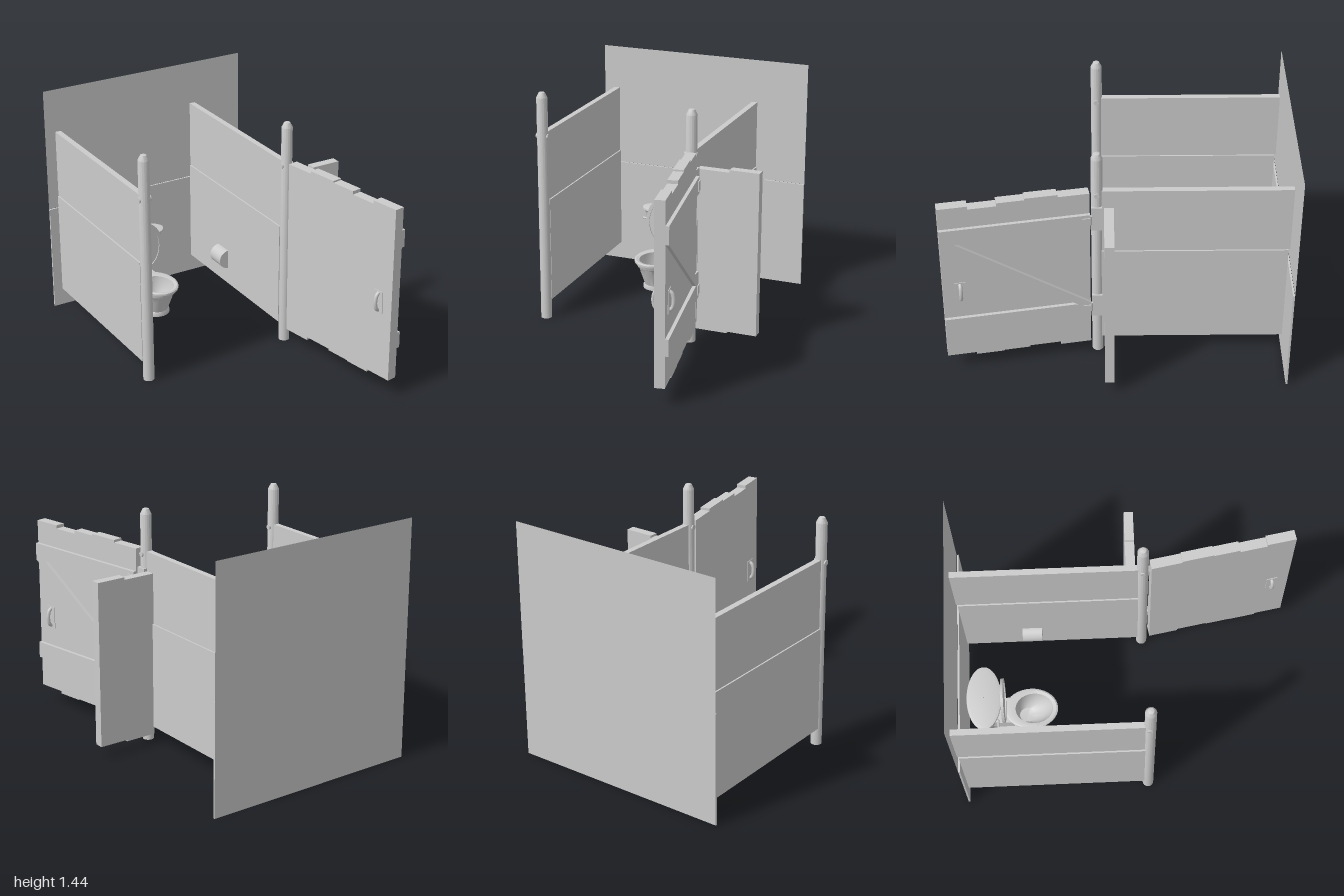
import * as THREE from 'three';
import { toCreasedNormals } from 'three/addons/utils/BufferGeometryUtils.js';

const grey = new THREE.MeshStandardMaterial({ color: 0xcccccc });
const thin = new THREE.MeshStandardMaterial({ color: 0xcccccc, side: THREE.DoubleSide });

function add(parent, name, geometry, x = 0, y = 0, z = 0, material = grey) {
  const mesh = new THREE.Mesh(geometry, material);
  mesh.name = name;
  mesh.position.set(x, y, z);
  parent.add(mesh);
  return mesh;
}

// Box given by its limits on each axis
function block(parent, name, x0, x1, y0, y1, z0, z1) {
  return add(parent, name, new THREE.BoxGeometry(x1 - x0, y1 - y0, z1 - z0),
    (x0 + x1) / 2, (y0 + y1) / 2, (z0 + z1) / 2);
}

// Skin over elliptical rings [y, radiusX, radiusZ, centreZ], outer side listed downwards
function loft(rings) {
  const sides = 36;
  const g = new THREE.CylinderGeometry(1, 1, 1, sides, rings.length - 1, true);
  const p = g.attributes.position;
  for (let i = 0; i < p.count; i++) {
    const [y, rx, rz, cz = 0] = rings[Math.floor(i / (sides + 1))];
    p.setXYZ(i, p.getX(i) * rx, y, cz + p.getZ(i) * rz);
  }
  return toCreasedNormals(g, 0.7);
}

function group(parent, name, x = 0, y = 0, z = 0) {
  const g = new THREE.Group();
  g.name = name;
  g.position.set(x, y, z);
  parent.add(g);
  return g;
}

function buildToilet(parent) {
  const t = group(parent, 'toilet', -0.19, 0, 0);
  // Bowl: from the inner floor up over the rim and down to the foot
  add(t, 'bowl', loft([
    [0.07, 0.001, 0.001, -0.62], [0.075, 0.045, 0.05, -0.62], [0.11, 0.07, 0.08, -0.6],
    [0.17, 0.09, 0.11, -0.58], [0.2, 0.095, 0.115, -0.575], [0.205, 0.118, 0.152, -0.59],
    [0.2, 0.128, 0.163, -0.592], [0.188, 0.128, 0.163, -0.592], [0.184, 0.117, 0.15, -0.597],
    [0.16, 0.117, 0.145, -0.6], [0.15, 0.108, 0.13, -0.604], [0.11, 0.1, 0.115, -0.605],
    [0.03, 0.073, 0.083, -0.605], [0.018, 0.083, 0.087, -0.605], [0, 0.083, 0.087, -0.605],
    [0, 0.001, 0.001, -0.605],
  ]));
  // Tank with its overhanging cover
  add(t, 'tank', loft([
    [0.445, 0.001, 0.001], [0.443, 0.17, 0.09], [0.438, 0.196, 0.103], [0.428, 0.198, 0.105],
    [0.42, 0.185, 0.098], [0.4, 0.178, 0.094], [0.33, 0.168, 0.088], [0.26, 0.148, 0.078],
    [0.21, 0.125, 0.068], [0.19, 0.105, 0.06], [0, 0.1, 0.06], [0, 0.001, 0.001],
  ]), 0, 0, -0.865);
  block(t, 'footLink', -0.06, 0.06, 0, 0.02, -0.83, -0.66);
  block(t, 'bowlNeck', -0.08, 0.08, 0.11, 0.185, -0.85, -0.7);
  // Raised lid: a disc with a raised border
  const oval = (rx, ry) => new THREE.Shape().absellipse(0, 0, rx, ry, 0, Math.PI * 2);
  const border = oval(0.13, 0.17);
  border.holes.push(oval(0.108, 0.143));
  const disc = (s, d) => new THREE.ExtrudeGeometry(s, { depth: d, bevelEnabled: false, curveSegments: 20 });
  add(t, 'lid', disc(oval(0.129, 0.169), 0.01), 0, 0.375, -0.762);
  add(t, 'lidBorder', disc(border, 0.008), 0, 0.375, -0.753);
  // Flush lever
  const pivot = add(t, 'flushPivot', new THREE.CylinderGeometry(0.012, 0.012, 0.03, 12), -0.13, 0.385, -0.8);
  pivot.rotation.x = Math.PI / 2;
  const lever = add(t, 'flushLever', new THREE.CapsuleGeometry(0.007, 0.035, 4, 8), -0.145, 0.382, -0.784);
  lever.rotation.z = 1.45;
}

function buildDoor(parent) {
  const door = group(parent, 'door', 0.325, 0, 0.15);
  door.rotation.y = 0.175;
  // Uneven boards: start, end, bottom, top
  [[0, 0.18, 0.09, 1.175], [0.18, 0.365, 0.11, 1.19], [0.365, 0.52, 0.1, 1.18],
    [0.52, 0.68, 0.095, 1.16], [0.68, 0.85, 0.11, 1.18]]
    .forEach(([z0, z1, y0, y1]) => block(door, 'doorBoard', -0.03, 0.03, y0, y1, z0, z1));
  // Rails and diagonal brace on the outer face
  block(door, 'upperRail', 0.03, 0.05, 0.94, 1.04, 0, 0.85);
  block(door, 'lowerRail', 0.03, 0.05, 0.3, 0.4, 0, 0.85);
  const shape = new THREE.Shape([[0, 0.4], [0.08, 0.4], [0.85, 0.935], [0.85, 0.94], [0.77, 0.94]]
    .map(([z, y]) => new THREE.Vector2(z, y)));
  const brace = add(door, 'diagonalBrace',
    new THREE.ExtrudeGeometry(shape, { depth: 0.02, bevelEnabled: false }), 0.05);
  brace.rotation.y = -Math.PI / 2;
  // Pull handle and plate on each face
  for (const s of [-1, 1]) {
    const h = group(door, 'handle', s * 0.03, 0.583, 0.75);
    add(h, 'handlePlate', new THREE.BoxGeometry(0.006, 0.135, 0.065), s * 0.001);
    const path = new THREE.CatmullRomCurve3([[0, -0.055], [0.017, -0.042], [0.026, 0], [0.017, 0.042], [0, 0.055]]
      .map(([x, y]) => new THREE.Vector3(s * x, y, 0)));
    add(h, 'handleGrip', new THREE.TubeGeometry(path, 20, 0.011, 10));
  }
}

export function createModel() {
  const model = new THREE.Group();
  model.name = 'toiletStall';

  // Back wall: thin sheet above a thicker lower panel
  add(model, 'backWallUpper', new THREE.PlaneGeometry(1.36, 0.77), -0.03, 1.055, -1, thin);
  block(model, 'backWallLower', -0.71, 0.65, 0, 0.67, -0.999, -0.988);

  // Posts with chamfered tops, and the side partitions behind them
  const postProfile = [[0, 0], [0.033, 0], [0.033, 1.385], [0.018, 1.415], [0, 1.42]]
    .map(([r, y]) => new THREE.Vector2(r, y));
  for (const x of [-0.625, 0.31]) {
    add(model, 'post', toCreasedNormals(new THREE.LatheGeometry(postProfile, 16), 0.5), x, 0, 0.105);
    const bolt = add(model, 'postBolt', new THREE.CylinderGeometry(0.016, 0.016, 0.076, 12), x, 1.15, 0.105);
    bolt.rotation.z = Math.PI / 2;
    block(model, 'partitionLower', x - 0.027, x + 0.027, 0.11, 0.75, -0.988, 0.08);
    block(model, 'partitionUpper', x - 0.018, x + 0.018, 0.75, 1.17, -0.998, 0.08);
  }

  // Short front panel of two boards
  block(model, 'frontBoardInner', 0.33, 0.525, 0.065, 1.055, 0.01, 0.065);
  block(model, 'frontBoardOuter', 0.525, 0.705, 0.075, 1.07, 0.01, 0.065);

  buildDoor(model);

  // Hinges between post and door
  for (const y of [0.355, 0.99]) {
    block(model, 'hingePostLeaf', 0.325, 0.349, y - 0.078, y + 0.078, 0.075, 0.138);
    add(model, 'hingeKnuckle', new THREE.CylinderGeometry(0.01, 0.01, 0.06, 12), 0.355, y, 0.142);
    const leaf = block(model, 'hingeDoorLeaf', 0.358, 0.384, y - 0.03, y + 0.03, 0.142, 0.19);
    leaf.rotation.y = 0.175;
  }

  // Paper holder: half drum on the inside of the right partition
  const drum = add(model, 'paperHolder',
    new THREE.CylinderGeometry(0.06, 0.06, 0.12, 24, 1, false, Math.PI, Math.PI), 0.283, 0.28, -0.57);
  drum.rotation.x = Math.PI / 2;

  buildToilet(model);
  return model;
}
